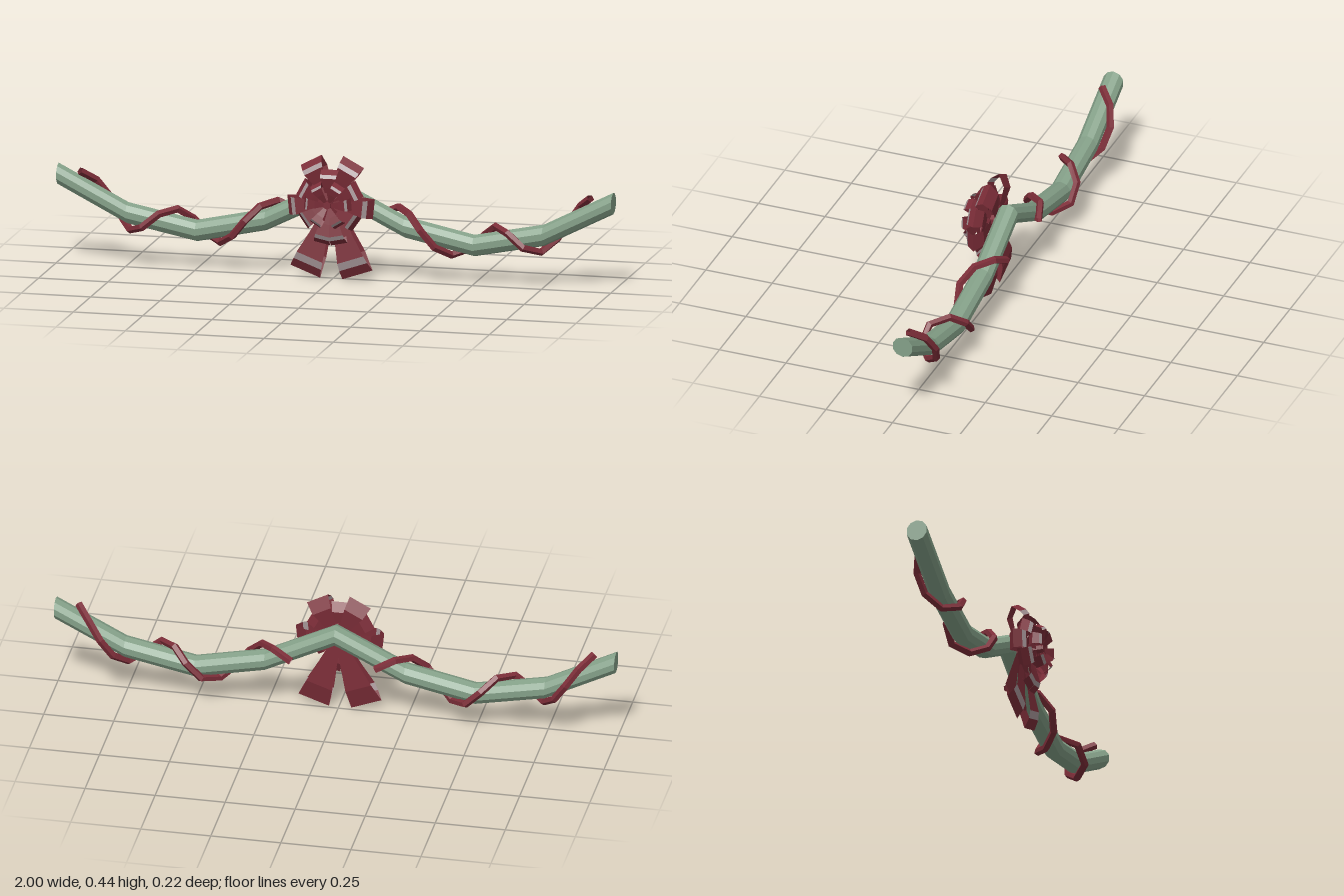
import * as THREE from 'three';

const green = new THREE.MeshStandardMaterial({ color: 0x84a088, flatShading: true });
const red = new THREE.MeshStandardMaterial({ color: 0x7c2d38, flatShading: true, side: THREE.DoubleSide });
const pale = new THREE.MeshStandardMaterial({ color: 0xa8989a, flatShading: true, side: THREE.DoubleSide });

// Height of the swag's centre line, symmetric about x = 0
const heights = [0.314, 0.19, 0.137, 0.187, 0.314];
function swagY(x) {
  const t = Math.min(Math.abs(x) * 4, 4);
  const i = Math.min(Math.floor(t), 3);
  return THREE.MathUtils.lerp(heights[i], heights[i + 1], t - i);
}
const AXIS_Z = -0.038;

function add(parent, name, geometry, material) {
  const mesh = new THREE.Mesh(geometry, material);
  mesh.name = name;
  parent.add(mesh);
  return mesh;
}

// Straight ten-sided rod whose rings are shifted onto the swag line
function garlandGeometry() {
  const g = new THREE.CylinderGeometry(0.0385, 0.0385, 2, 10, 8);
  g.rotateY(Math.PI / 2).rotateZ(Math.PI / 2);
  const p = g.attributes.position;
  for (let i = 0; i < p.count; i++) p.setY(i, p.getY(i) + swagY(p.getX(i)));
  g.translate(0, 0, AXIS_Z);
  g.computeVertexNormals();
  return g;
}

// Ribbon wound round one half of the garland
function ribbonGeometry(side) {
  const pts = [];
  const n = 13;
  for (let i = 0; i <= n; i++) {
    const x = 0.15 + (0.77 * i) / n;
    const a = ((x - 0.25) / 0.33) * Math.PI * 2;
    pts.push(new THREE.Vector3(side * x, swagY(x) + 0.058 * Math.cos(a), AXIS_Z + 0.058 * Math.sin(a)));
  }
  return new THREE.TubeGeometry(new THREE.CatmullRomCurve3(pts), 15, 0.014, 5, false);
}

// Strip through a profile of [distance out, z, half width]
function stripGeometry(profile) {
  const pos = [];
  for (let i = 0; i < profile.length - 1; i++) {
    const [r0, z0, w0] = profile[i];
    const [r1, z1, w1] = profile[i + 1];
    pos.push(r0, -w0, z0, r1, -w1, z1, r1, w1, z1);
    pos.push(r0, -w0, z0, r1, w1, z1, r0, w0, z0);
  }
  const g = new THREE.BufferGeometry();
  g.setAttribute('position', new THREE.Float32BufferAttribute(pos, 3));
  g.computeVertexNormals();
  return g;
}

// One folded loop: flat back, turned tip, pale stripe, front returning to the knot
function bowLoop(name, degrees, length, width, depth, z) {
  const w = width / 2;
  const p = [
    [0.01, 0, w * 0.25],
    [length * 0.74, -depth * 0.25, w * 0.85],
    [length, depth * 0.25, w],
    [length * 0.88, depth * 0.8, w * 0.92],
    [length * 0.78, depth, w * 0.86],
    [length * 0.5, depth * 0.8, w * 0.6],
    [0.01, depth * 0.45, w * 0.25],
  ];
  const loop = new THREE.Group();
  loop.name = name;
  add(loop, 'loopBack', stripGeometry(p.slice(0, 4)), red);
  add(loop, 'loopStripe', stripGeometry(p.slice(3, 5)), pale);
  add(loop, 'loopFront', stripGeometry(p.slice(4)), red);
  loop.rotation.z = THREE.MathUtils.degToRad(degrees);
  loop.position.z = z;
  return loop;
}

export function createModel() {
  const model = new THREE.Group();
  model.name = 'garlandWithBow';
  add(model, 'garland', garlandGeometry(), green);
  add(model, 'leftRibbon', ribbonGeometry(1), red);
  add(model, 'rightRibbon', ribbonGeometry(-1), red);

  const bow = new THREE.Group();
  bow.name = 'bow';
  bow.position.set(0, 0.28, 0);
  model.add(bow);

  // Layers from back to front: [name, angles, length, width, depth, z]
  const layers = [
    ['tail', [249, 289], 0.275, 0.115, 0.035, 0.002],
    ['upperLoop', [62, 118], 0.163, 0.085, 0.05, 0.0],
    ['sideLoop', [-6, 186], 0.155, 0.07, 0.05, 0.02],
    ['lowerLoop', [258, 282], 0.15, 0.06, 0.035, 0.03],
    ['middleLoop', [28, 90, 152, 215, 325], 0.12, 0.065, 0.045, 0.035],
    ['frontLoop', [5, 60, 120, 175, 238, 302], 0.085, 0.045, 0.04, 0.07],
  ];
  for (const [name, angles, ...size] of layers) {
    for (const a of angles) bow.add(bowLoop(name, a, ...size));
  }

  // Small knot holding the layers together
  const knot = add(bow, 'knot', new THREE.CylinderGeometry(0.014, 0.02, 0.095, 6), red);
  knot.rotation.x = Math.PI / 2;
  knot.position.z = 0.047;
  return model;
}
